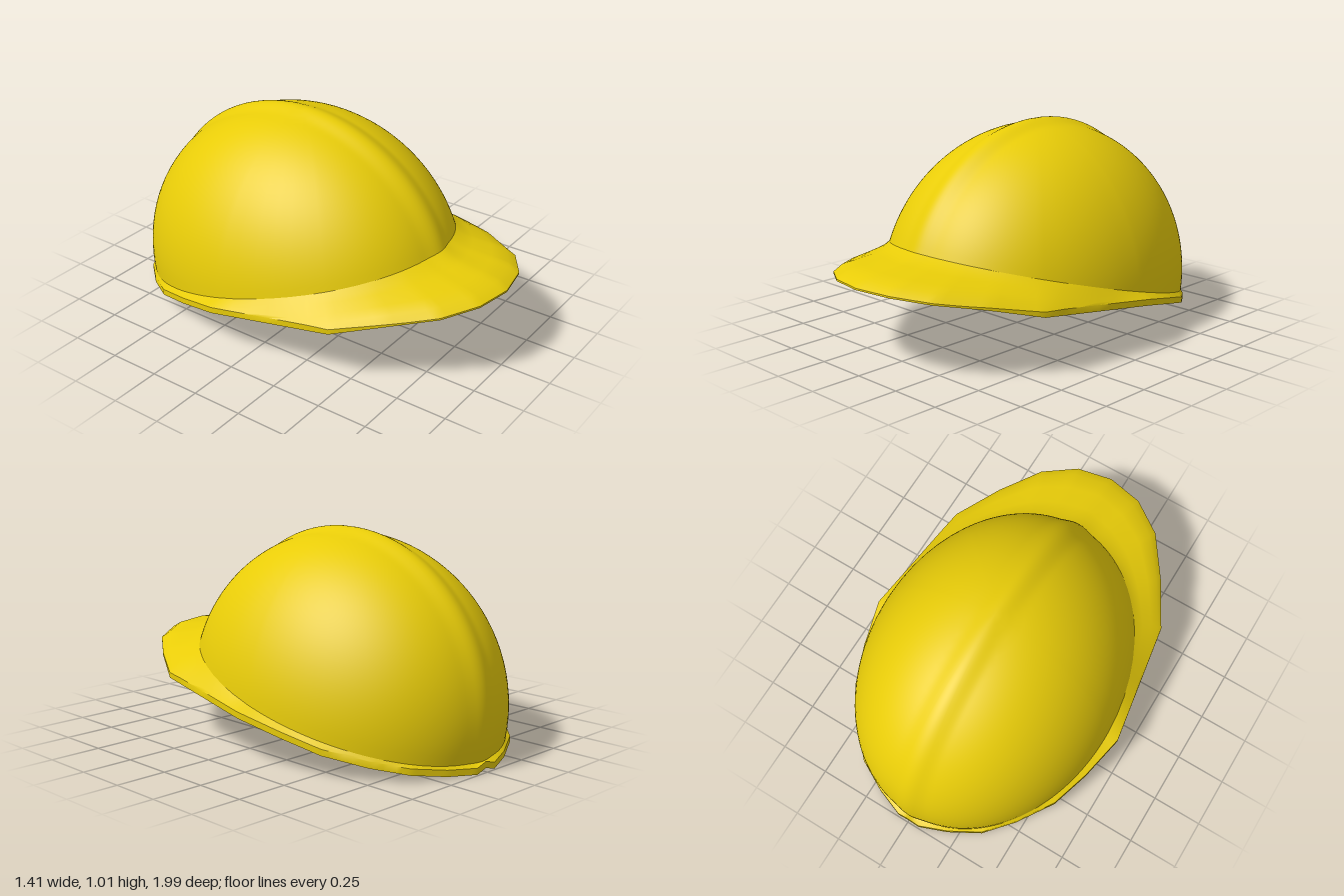
import * as THREE from 'three';
import { mergeVertices, toCreasedNormals } from 'three/addons/utils/BufferGeometryUtils.js';

// Shell: an ellipsoid cut by a plane that tilts down to the back
const RX = 0.65, RY = 0.79, RZ = 0.84, CY = 0.2, CZ = -0.14;
const CUT_Y = 0.31, CUT_SLOPE = 0.276;

// Outer lower edge of the brim on the left half, front to back: x, z, y
const OUTLINE = [
  [0, 1, 0.395], [0.18, 0.965, 0.39], [0.34, 0.86, 0.37], [0.48, 0.67, 0.335],
  [0.61, 0.45, 0.28], [0.705, -0.15, 0.215], [0.655, -0.37, 0.16], [0.59, -0.56, 0.107],
  [0.47, -0.73, 0.062], [0.35, -0.86, 0.033], [0.2, -0.94, 0.011], [0.06, -0.992, 0], [0, -0.992, 0.018],
];
const STEPS = 6;

// Full loop of edge points, mirrored to the right half and subdivided
function edgeLoop() {
  const right = OUTLINE.slice(1, -1).reverse().map(([x, z, y]) => [-x, z, y]);
  const corners = [...OUTLINE, ...right].map(([x, z, y]) => new THREE.Vector3(x, y, z));
  return corners.flatMap((p, i) => {
    const q = corners[(i + 1) % corners.length];
    return Array.from({ length: STEPS }, (_, k) => p.clone().lerp(q, k / STEPS));
  });
}

// Point on the shell under an edge point; t runs from rim (0) to crown (1)
function shellPoint(edge, t, size = 1) {
  const a = Math.atan2(edge.x / RX, (edge.z - CZ) / RZ);
  const k = (CUT_SLOPE * RZ * Math.cos(a)) / RY;
  const h = (CUT_Y + CUT_SLOPE * CZ - CY) / RY;
  const rim = Math.asin(h / Math.hypot(1, k)) + Math.atan(k);
  const e = THREE.MathUtils.lerp(rim, Math.PI / 2, t);
  const x = RX * Math.cos(e) * Math.sin(a);
  // raised rib running front to back over the crown
  const rib = Math.abs(x) < 0.1 ? Math.cos((x / 0.1) * Math.PI / 2) ** 2 : 0;
  const s = size * (1 + 0.027 * rib * (0.35 + 0.65 * Math.max(0, Math.sin(e))));
  return new THREE.Vector3(x * s, CY + RY * Math.sin(e) * s, CZ + RZ * Math.cos(e) * Math.cos(a) * s);
}

// Inside of the shell, dropped a little at the rim
function liningPoint(edge, t) {
  const p = shellPoint(edge, t, 0.97);
  p.y -= 0.03 * (1 - t);
  return p;
}

// Brim cross-section: underside, lip, then the upper face up to the shell
function brimSection(edge) {
  const base = shellPoint(edge, 0);
  const front = THREE.MathUtils.smoothstep(edge.z, 0.3, 0.8);
  const lip = edge.clone();
  lip.y += THREE.MathUtils.lerp(0.03, 0.009, front);
  const upper = [[0.85, 0.016], [0.6, 0.007], [0.3, -0.004], [0.14, -0.008]].map(([t, lift]) => {
    const p = base.clone().lerp(lip, t);
    p.y += lift * front;
    return p;
  });
  return [liningPoint(edge, 0), edge, lip, ...upper, base];
}

// Closed skin over a loop of equal-length cross-sections
function skin(sections) {
  const n = sections.length, m = sections[0].length, index = [];
  for (let i = 0; i < n; i++) {
    for (let j = 0; j < m - 1; j++) {
      const a = i * m + j, b = ((i + 1) % n) * m + j;
      index.push(a, b, b + 1, a, b + 1, a + 1);
    }
  }
  const geometry = new THREE.BufferGeometry().setFromPoints(sections.flat());
  geometry.setIndex(index);
  const merged = mergeVertices(geometry, 1e-5);
  merged.computeVertexNormals();
  return merged;
}

export function createModel() {
  const group = new THREE.Group();
  group.name = 'hardHat';
  const material = new THREE.MeshStandardMaterial({ color: 0xe8cc08, side: THREE.DoubleSide });
  const loop = edgeLoop();
  const rows = Array.from({ length: 29 }, (_, j) => j / 28);

  const add = (name, geometry) => {
    const mesh = new THREE.Mesh(geometry, material);
    mesh.name = name;
    group.add(mesh);
  };
  add('shell', skin(loop.map((p) => rows.map((t) => shellPoint(p, t)))));
  add('shellInside', skin(loop.map((p) => rows.map((t) => liningPoint(p, 1 - t)))));
  add('brim', toCreasedNormals(skin(loop.map(brimSection)), 0.7));
  return group;
}
